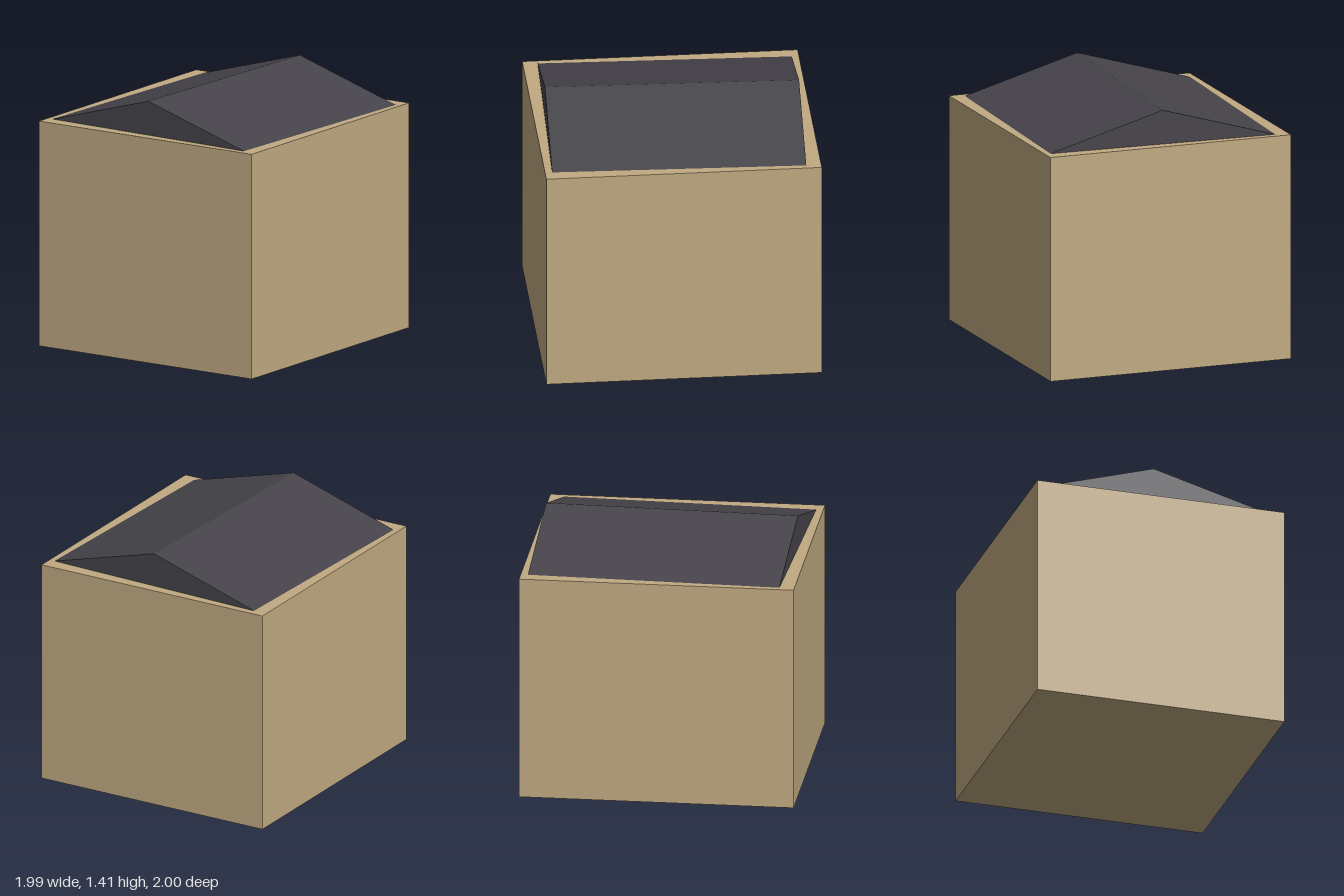
import * as THREE from 'three';

export function createModel() {
  const model = new THREE.Group();
  const wallTan = new THREE.MeshStandardMaterial({ color: 0xc0aa82 });
  wallTan.name = 'wallTan';
  const roofCharcoal = new THREE.MeshStandardMaterial({ color: 0x46444a });
  roofCharcoal.name = 'roofCharcoal';

  // Block of walls, turned on the plot
  const height = 1.226;
  const walls = new THREE.Mesh(new THREE.BoxGeometry(1.374, height, 1.47), wallTan);
  walls.name = 'walls';
  walls.position.y = height / 2;
  walls.rotation.y = -0.655;
  model.add(walls);

  // Low gable roof, inset from the wall edges and turned slightly further
  const halfWidth = 0.634, length = 1.353, rise = 0.185;
  const gable = new THREE.Shape([
    new THREE.Vector2(-halfWidth, 0),
    new THREE.Vector2(halfWidth, 0),
    new THREE.Vector2(0, rise),
  ]);
  const roofGeometry = new THREE.ExtrudeGeometry(gable, { depth: length, bevelEnabled: false });
  roofGeometry.translate(0, 0, -length / 2);
  const roof = new THREE.Mesh(roofGeometry, roofCharcoal);
  roof.name = 'gableRoof';
  roof.position.y = height;
  roof.rotation.y = -0.688;
  model.add(roof);

  return model;
}
